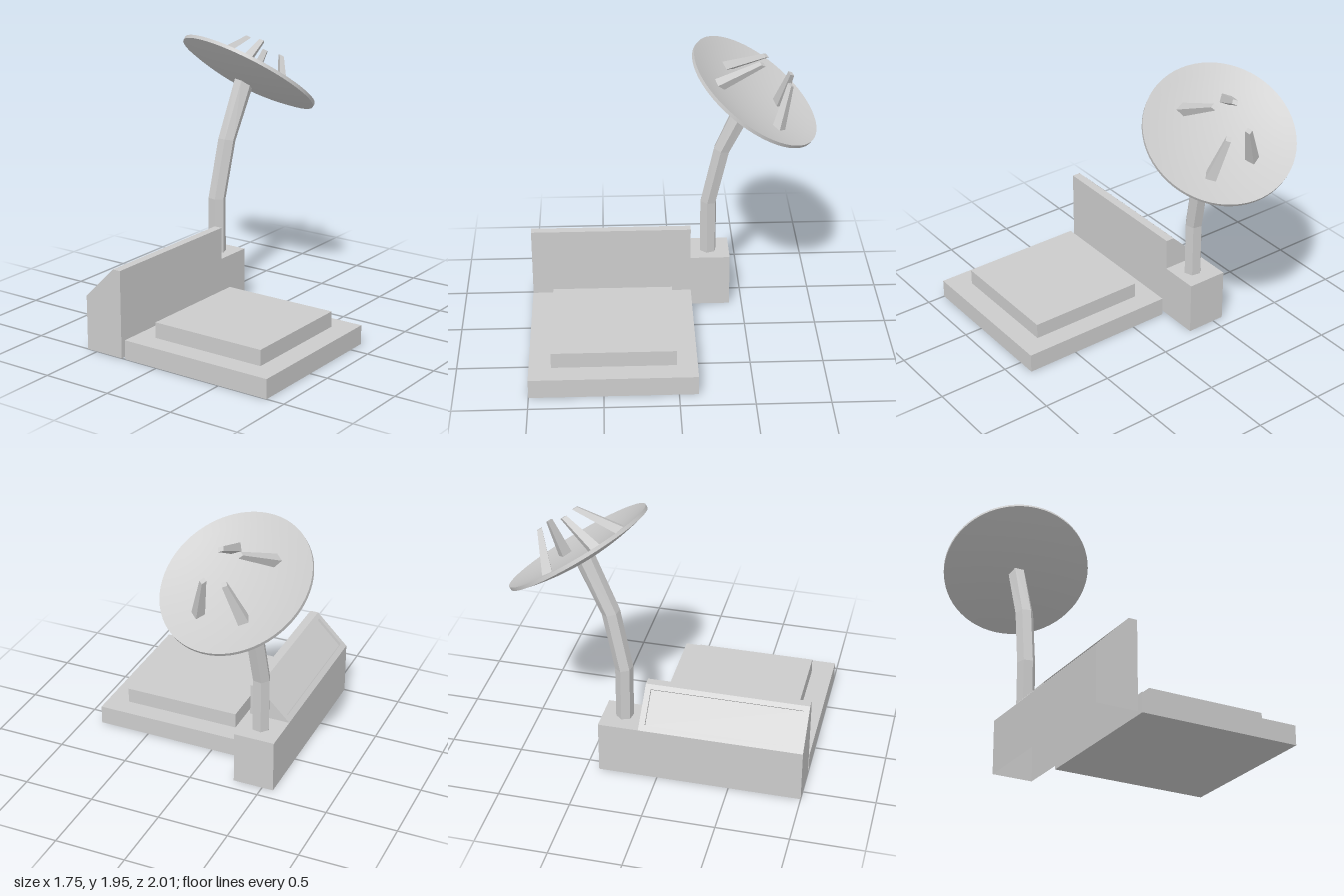
import * as THREE from 'three';
import { toCreasedNormals } from 'three/addons/utils/BufferGeometryUtils.js';

const grey = new THREE.MeshStandardMaterial({ color: 0xcccccc });
const greyOpen = new THREE.MeshStandardMaterial({ color: 0xcccccc, side: THREE.DoubleSide });

function mesh(name, geometry, material = grey) {
  const m = new THREE.Mesh(geometry, material);
  m.name = name;
  return m;
}

// Box given by its minimum and maximum corners
function block(name, a, b) {
  const g = new THREE.BoxGeometry(b[0] - a[0], b[1] - a[1], b[2] - a[2]);
  g.translate((a[0] + b[0]) / 2, (a[1] + b[1]) / 2, (a[2] + b[2]) / 2);
  return mesh(name, g);
}

// Flat-shaded surface from convex polygons, corners counter-clockwise from outside
function faces(polygons) {
  const pos = [];
  for (const p of polygons)
    for (let i = 1; i < p.length - 1; i++) pos.push(...p[0], ...p[i], ...p[i + 1]);
  const g = new THREE.BufferGeometry();
  g.setAttribute('position', new THREE.Float32BufferAttribute(pos, 3));
  g.computeVertexNormals();
  return g;
}

// Console shell: open underneath, sloped side with a recessed panel, low block at the back
function consoleShell() {
  const xo = -0.58, xi = -0.29, xr = -0.35, lo = 0.38, hi = 0.61, zb = -0.41, zm = -0.13, zf = 1;
  const slope = (x, z, d = 0) => [x + d, lo + (x - xo) * (hi - lo) / (xr - xo) - d, z];
  const rect = (x0, x1, z0, z1, d) =>
    [slope(x0, z0, d), slope(x0, z1, d), slope(x1, z1, d), slope(x1, z0, d)];
  const outer = rect(xo, xr, zm, zf), rim = rect(-0.55, -0.375, -0.09, 0.96);
  const floor = rect(-0.55, -0.375, -0.09, 0.96, 0.014);
  const polys = [
    [[xo, 0, zb], [xo, 0, zf], [xo, lo, zf], [xo, lo, zb]],
    [[xi, 0, zf], [xi, 0, zb], [xi, lo, zb], [xi, lo, zf]],
    [[xi, lo, zf], [xi, lo, zm], [xi, hi, zm], [xi, hi, zf]],
    [[xo, 0, zf], [xi, 0, zf], [xi, hi, zf], [xr, hi, zf], [xo, lo, zf]],
    [[xi, 0, zb], [xo, 0, zb], [xo, lo, zb], [xi, lo, zb]],
    [[xi, lo, zm], [xo, lo, zm], [xr, hi, zm], [xi, hi, zm]],
    [[xo, lo, zb], [xo, lo, zm], [xi, lo, zm], [xi, lo, zb]],
    [[xr, hi, zm], [xr, hi, zf], [xi, hi, zf], [xi, hi, zm]],
    floor,
  ];
  for (let i = 0; i < 4; i++) {
    const j = (i + 1) % 4;
    polys.push([outer[i], outer[j], rim[j], rim[i]], [rim[i], rim[j], floor[j], floor[i]]);
  }
  return faces(polys);
}

// Bent six-sided mast; each ring is a centre plus its tilt along x and z
function mastGeometry() {
  const rings = [
    [-0.423, 0.38, -0.26, 0, 0],
    [-0.423, 0.775, -0.26, 0, 0.1],
    [-0.4, 1.19, -0.35, 0, 0.24],
    [-0.377, 1.579, -0.528, -0.2, 0.685],
  ].map(([x, y, z, tx, tz]) => Array.from({ length: 6 }, (_, k) => {
    const a = (10 + 60 * k) * Math.PI / 180;
    const dx = 0.064 * Math.cos(a), dz = 0.061 * Math.sin(a);
    return [x + dx, y + tx * dx + tz * dz, z + dz];
  }));
  const polys = [];
  for (let r = 0; r < 3; r++)
    for (let k = 0; k < 6; k++) {
      const n = (k + 1) % 6;
      polys.push([rings[r][k], rings[r + 1][k], rings[r + 1][n], rings[r][n]]);
    }
  return faces(polys);
}

// Shallow bowl with a thin flat rim, axis along y
function bowlGeometry() {
  const R = 0.517, steps = 8, pts = [];
  for (let i = 0; i <= steps; i++) {
    const t = i / steps;
    pts.push(new THREE.Vector2(R * t, -0.09 + 0.077 * t * t));
  }
  for (let i = steps; i >= 0; i--) {
    const t = i / steps;
    pts.push(new THREE.Vector2(R * t, -0.065 + 0.077 * t * t));
  }
  return toCreasedNormals(new THREE.LatheGeometry(pts, 64), 0.6);
}

// Tapered square prong leaning from base to tip
function prongGeometry(base, tip) {
  const g = new THREE.BoxGeometry(1, 1, 1).toNonIndexed();
  const p = g.attributes.position, c = new THREE.Vector3();
  const b = new THREE.Vector3(...base), e = new THREE.Vector3(...tip);
  const turn = Math.atan2(base[0], base[2]), yAxis = new THREE.Vector3(0, 1, 0);
  for (let i = 0; i < p.count; i++) {
    const top = p.getY(i) > 0, w = top ? 0.035 : 0.072;
    c.set(p.getX(i) * w, 0, p.getZ(i) * w).applyAxisAngle(yAxis, turn).add(top ? e : b);
    p.setXYZ(i, c.x, c.y, c.z);
  }
  g.computeVertexNormals();
  return g;
}

export function createModel() {
  const model = new THREE.Group();
  model.name = 'dishStation';

  // Stepped platform
  model.add(block('platformBase', [-0.26, 0, -0.13], [0.87, 0.135, 1]));
  model.add(block('platformTop', [-0.12, 0.135, 0.01], [0.72, 0.245, 0.85]));

  model.add(mesh('console', consoleShell(), greyOpen));
  model.add(mesh('mast', mastGeometry(), greyOpen));

  // Dish tilted backwards and slightly to its left
  const dish = new THREE.Group();
  dish.name = 'dish';
  const n = new THREE.Vector3(0.16, 0.81, -0.555).normalize();
  const u = new THREE.Vector3(1, 0, 0).addScaledVector(n, -n.x).normalize();
  const v = new THREE.Vector3().crossVectors(u, n);
  dish.quaternion.setFromRotationMatrix(new THREE.Matrix4().makeBasis(u, n, v));
  dish.position.set(-0.365, 1.64, -0.57);
  dish.add(mesh('bowl', bowlGeometry()));

  // Four prongs leaning inwards: base x, z and tip x, z
  [
    [-0.195, 0.215, -0.094, 0.074],
    [0.118, 0.27, 0.049, 0.1],
    [0.205, -0.236, 0.086, -0.135],
    [-0.125, -0.235, -0.067, -0.14],
  ].forEach(([bx, bz, tx, tz], i) =>
    dish.add(mesh('prong' + (i + 1), prongGeometry([bx, -0.05, bz], [tx, 0.226, tz]))));
  model.add(dish);

  return model;
}
